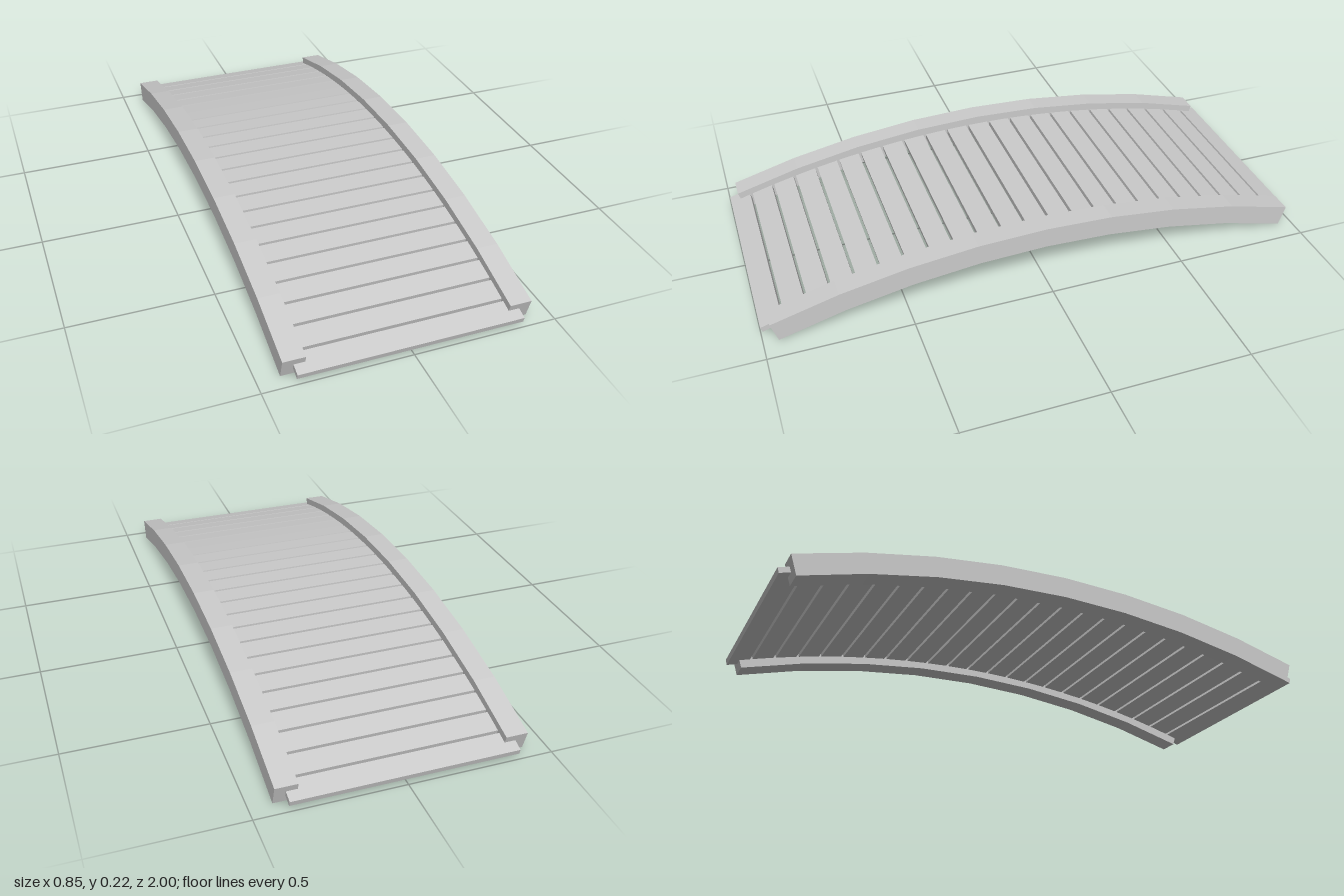
import * as THREE from 'three';

const material = new THREE.MeshStandardMaterial({ color: 0xcccccc, flatShading: true });

// Point on an arc in the (z, y) plane; the apex height is the top of the circle
const arcPoint = (radius, apex, angle) =>
  new THREE.Vector2(radius * Math.sin(angle), apex - radius * (1 - Math.cos(angle)));

// Faceted curved beam, extruded along x and centred on it
function railGeometry() {
  const radius = 3.274, apex = 0.22, depth = 0.076, half = 0.3008, segments = 8, width = 0.076;
  const top = [], bottom = [];
  for (let i = 0; i <= segments; i++) {
    const angle = -half + (2 * half * i) / segments;
    top.push(arcPoint(radius, apex, angle));
    bottom.push(arcPoint(radius - depth, apex - depth, angle));
  }
  const shape = new THREE.Shape([...bottom, ...top.reverse()]);
  const geometry = new THREE.ExtrudeGeometry(shape, { depth: width, bevelEnabled: false });
  geometry.translate(0, 0, -width / 2);
  geometry.rotateY(-Math.PI / 2);
  return geometry;
}

export function createModel() {
  const model = new THREE.Group();
  model.name = 'archedBridge';

  // Side beams
  const railGeo = railGeometry();
  for (const [side, name] of [[1, 'leftRail'], [-1, 'rightRail']]) {
    const rail = new THREE.Mesh(railGeo, material);
    rail.name = name;
    rail.position.x = side * 0.385;
    model.add(rail);
  }

  // Deck planks, evenly spaced along a slightly flatter arc and let into the beams
  const planks = new THREE.Group();
  planks.name = 'deckPlanks';
  const count = 23, half = 0.2911, thickness = 0.02;
  const plankGeo = new THREE.BoxGeometry(0.77, thickness, 0.0785);
  plankGeo.translate(0, -thickness / 2, 0);
  for (let i = 0; i < count; i++) {
    const angle = -half + (2 * half * i) / (count - 1);
    const p = arcPoint(3.352, 0.189, angle);
    const plank = new THREE.Mesh(plankGeo, material);
    plank.name = 'plank' + (i + 1);
    plank.position.set(0, p.y, p.x);
    plank.rotation.x = angle;
    planks.add(plank);
  }
  model.add(planks);

  return model;
}
